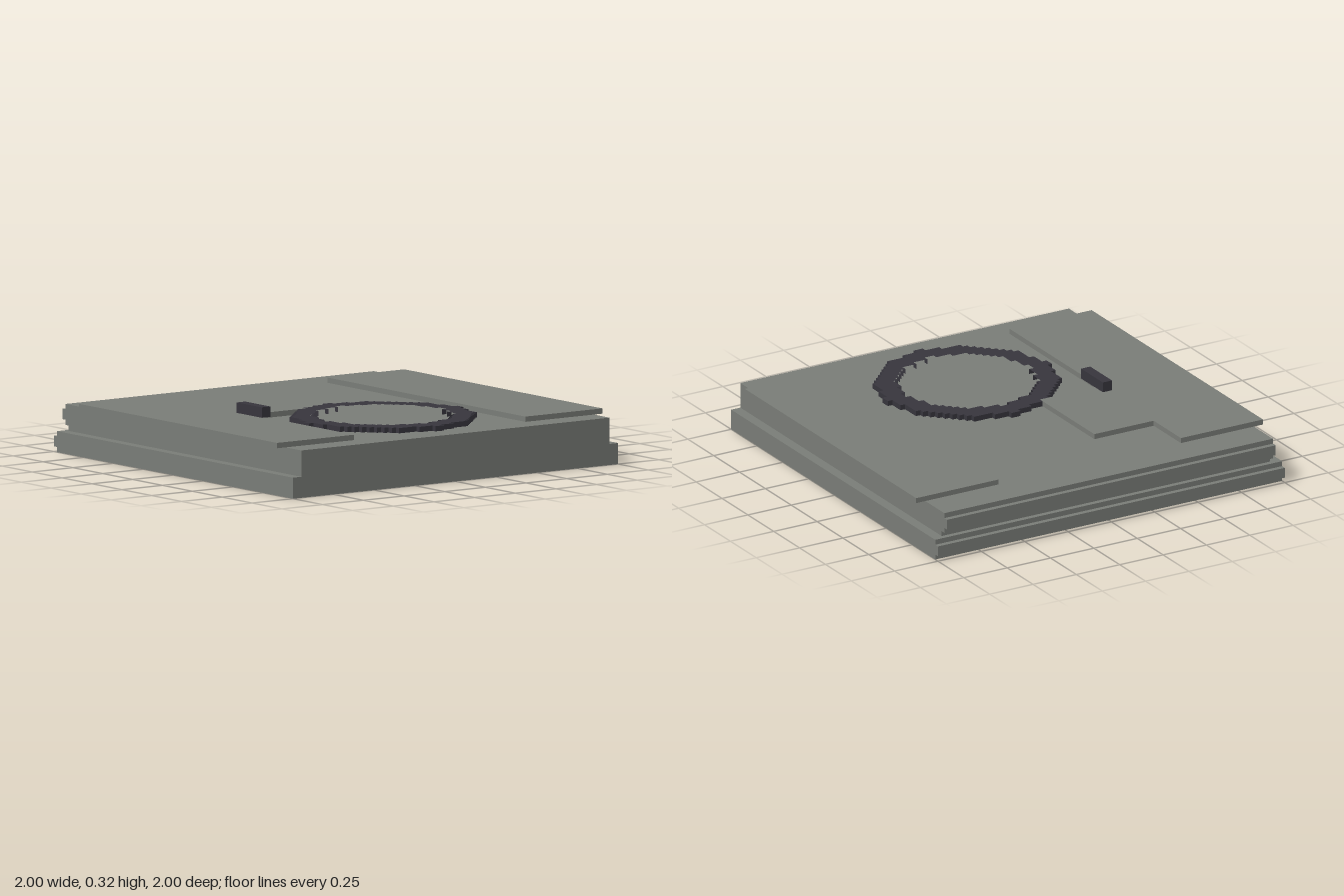
import * as THREE from 'three';

const U = 1 / 38; // one grid cell

const grey = new THREE.MeshStandardMaterial({ color: 0x7a7d78 });
grey.name = 'stone grey';
const dark = new THREE.MeshStandardMaterial({ color: 0x37353d });
dark.name = 'dark metal';

// Turns quadrant step corners [x, z] into a full closed stepped outline
function steppedOutline(corners) {
  const quad = [];
  corners.forEach(([x, z], i) => {
    if (i) quad.push([corners[i - 1][0], z]);
    quad.push([x, z]);
  });
  const back = [...quad].reverse();
  return [
    ...quad,
    ...back.map(([x, z]) => [x, -z]),
    ...quad.map(([x, z]) => [-x, -z]),
    ...back.map(([x, z]) => [-x, z]),
  ].map(([x, z]) => new THREE.Vector2(x, z));
}

const toShape = (points) => new THREE.Shape(points.map(([x, y]) => new THREE.Vector2(x, y)));
const extrude = (shape, depth) => new THREE.ExtrudeGeometry(shape, { depth, bevelEnabled: false });

export function createModel() {
  const model = new THREE.Group();
  const add = (name, geometry, material) => {
    const mesh = new THREE.Mesh(geometry.scale(U, U, U), material);
    mesh.name = name;
    model.add(mesh);
    return mesh;
  };

  // Base tiers: side profiles [z, y] with a grooved back edge, extruded across x
  const tier = (name, profile, width) => add(name,
    extrude(toShape(profile), width).translate(0, 0, -width / 2).rotateY(-Math.PI / 2), grey);
  tier('lowerBase', [[38, 0], [38, 4], [-37, 4], [-37, 3], [-38, 3], [-38, 1], [-37, 1], [-37, 0]], 76);
  tier('upperBase', [[38, 4], [38, 9], [-37, 9], [-37, 8], [-38, 8], [-38, 6], [-37, 6],
    [-37, 5], [-36, 5], [-36, 4]], 72);

  // Raised floor plates: outlines [x, z], laid flat on the base
  const plate = (name, outline, top) => add(name,
    extrude(toShape(outline), top - 9).rotateX(Math.PI / 2).translate(0, top, 0), grey);
  plate('leftPlate', [[20, -30], [38, -30], [38, 33], [20, 33]], 10);
  plate('rightPlate', [[-38, -30], [-20, -30], [-20, -20], [-7, -20], [-7, 0], [-20, 0],
    [-20, 33], [-38, 33]], 10.02);

  // Stepped ring on the floor
  const ring = new THREE.Shape(steppedOutline([[1, 18], [4, 17], [8, 16], [9, 15], [10, 14], [11, 13],
    [12, 12], [13, 11], [14, 10], [15, 9], [16, 8], [17, 4], [18, 1]]));
  ring.holes.push(new THREE.Path(steppedOutline([[1, 14], [4, 13], [7, 12], [8, 11], [9, 10], [10, 9],
    [11, 8], [12, 7], [13, 4], [14, 1]])));
  add('ring', extrude(ring, 1).rotateX(Math.PI / 2).translate(0, 10, 15), dark);

  // Small handle block on the right plate
  add('handle', new THREE.BoxGeometry(2, 2, 8).translate(-20, 11, 1), dark);

  return model;
}
